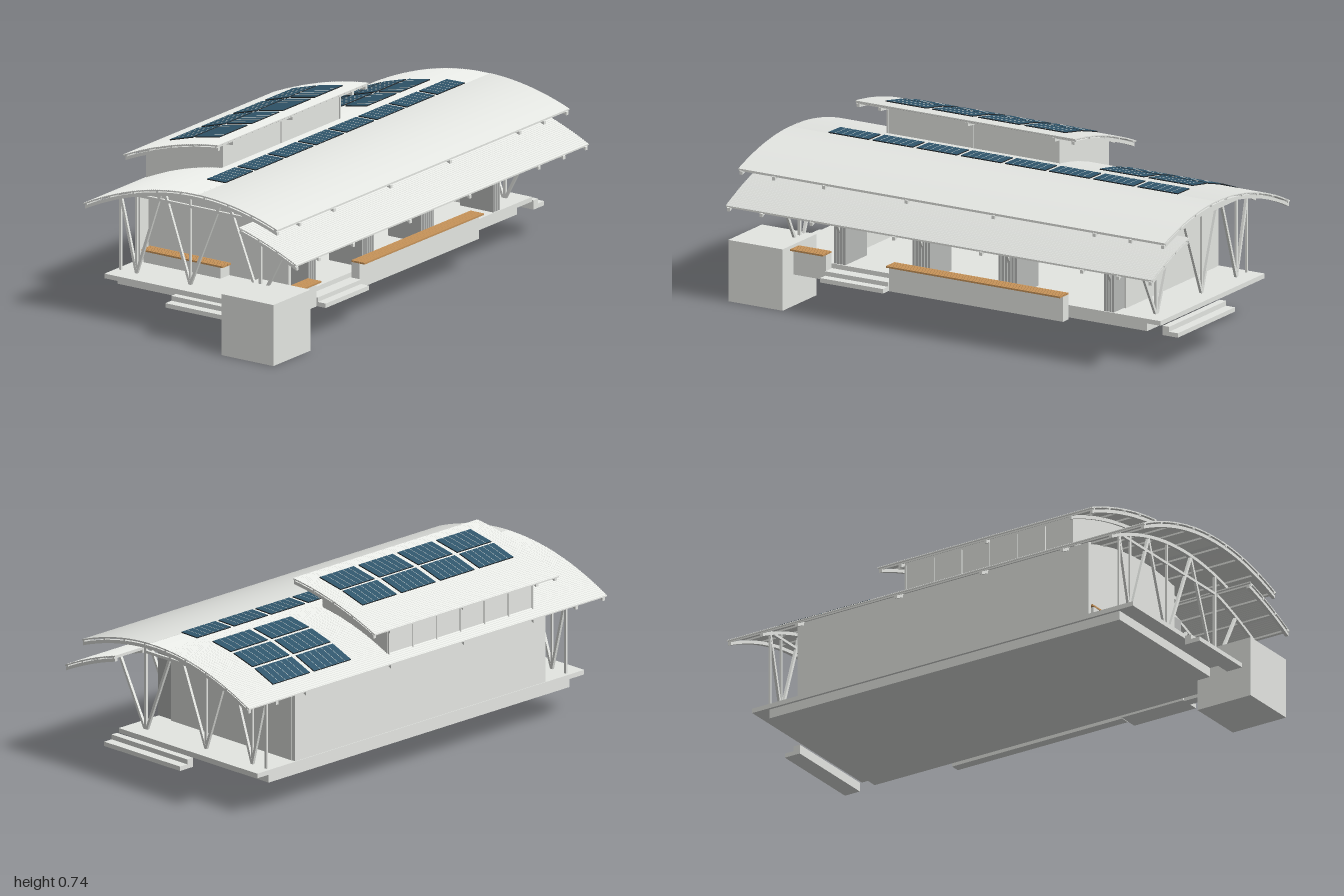
import * as THREE from 'three';
import { toCreasedNormals } from 'three/addons/utils/BufferGeometryUtils.js';

const mat = (name, color) => {
  const m = new THREE.MeshStandardMaterial({ color });
  m.name = name;
  return m;
};

export function createModel() {
  const model = new THREE.Group();
  model.name = 'pavilion';
  const grey = mat('light grey', 0xe4e6e2);
  const door = mat('door grey', 0xb8bab8);
  const dark = mat('panel frame', 0x24282b);
  const blue = mat('solar blue', 0x30566c);
  const wood = mat('wood', 0xc8945a);

  const add = (name, geo, material, parent = model) => {
    const mesh = new THREE.Mesh(geo, material);
    mesh.name = name;
    parent.add(mesh);
    return mesh;
  };
  // box given by its limits
  const box = (name, x0, x1, y0, y1, z0, z1, material = grey) => {
    const m = add(name, new THREE.BoxGeometry(x1 - x0, y1 - y0, z1 - z0), material);
    m.position.set((x0 + x1) / 2, (y0 + y1) / 2, (z0 + z1) / 2);
    return m;
  };
  // solid between two curves y(z), swept along x
  const band = (name, top, bottom, z0, z1, x0, x1, n = 32) => {
    const pts = [];
    for (let i = 0; i <= n; i++) {
      const z = z0 + (z1 - z0) * i / n;
      pts.push(new THREE.Vector2(z, bottom(z)));
    }
    for (let i = n; i >= 0; i--) {
      const z = z0 + (z1 - z0) * i / n;
      pts.push(new THREE.Vector2(z, top(z)));
    }
    const g = new THREE.ExtrudeGeometry(new THREE.Shape(pts), { depth: x1 - x0, bevelEnabled: false });
    g.rotateY(-Math.PI / 2).translate(x1, 0, 0);
    return add(name, toCreasedNormals(g, 0.35), grey);
  };
  // straight bar in the plane of constant x
  const bar = (name, x, z0, y0, z1, y1, t = 0.011) => {
    const len = Math.hypot(z1 - z0, y1 - y0);
    const m = add(name, new THREE.BoxGeometry(t, len, t), grey);
    m.position.set(x, (y0 + y1) / 2, (z0 + z1) / 2);
    m.rotation.x = Math.atan2(z1 - z0, y1 - y0);
  };

  // roof curves
  const mainY = z => 0.621 - 0.475 * (z - 0.02) ** 2;
  const canopyY = z => 0.5667 - 0.4 * (z + 0.0956) ** 2;
  const upperY = z => 0.7515 - 0.37 * (z - 0.087) ** 2;
  const drop = (f, d) => z => f(z) - d;

  // ground works: block, plinth, floor slab
  box('cornerBlock', -1, -0.75, 0, 0.25, 0.18, 0.43);
  box('plinth', -0.81, 0.837, 0.128, 0.166, -0.457, 0.285);
  box('floorSlab', -0.88, 0.91, 0.166, 0.185, -0.468, 0.305);

  // steps at both ends and at the front
  box('endStepUpper', 0.92, 0.95, 0.14, 0.168, -0.118, 0.305);
  box('endStepLower', 0.92, 0.99, 0.13, 0.148, -0.118, 0.305);
  box('endStepUpper', -0.92, -0.89, 0.14, 0.168, -0.118, 0.18);
  box('endStepLower', -0.96, -0.89, 0.13, 0.148, -0.118, 0.18);
  box('frontStepUpper', -0.6, -0.31, 0.13, 0.166, 0.305, 0.357);
  box('frontStepLower', -0.6, -0.31, 0.13, 0.148, 0.357, 0.395);

  // low walls with seats of long wooden slats
  const seat = (x0, x1, z0, z1) => {
    const count = 5, alongX = x1 - x0 > z1 - z0;
    for (let i = 0; i < count; i++) {
      const a = i / count, b = (i + 0.92) / count;
      if (alongX) box('seatSlat', x0, x1, 0.23, 0.237, z0 + (z1 - z0) * a, z0 + (z1 - z0) * b, wood);
      else box('seatSlat', x0 + (x1 - x0) * a, x0 + (x1 - x0) * b, 0.23, 0.237, z0, z1, wood);
    }
  };
  for (const [x0, x1] of [[-0.31, 0.49], [-0.75, -0.6]]) {
    box('benchWall', x0, x1, 0.128, 0.23, 0.31, 0.35);
    seat(x0, x1, 0.31, 0.375);
  }
  box('sideBench', -0.67, -0.612, 0.185, 0.23, -0.43, -0.06);
  seat(-0.672, -0.612, -0.44, -0.05);

  // walls
  const floor = () => 0.185;
  const under = drop(mainY, 0.014);
  band('backWall', under, floor, -0.465, -0.448, -0.67, 0.7, 2);
  band('leftWall', under, floor, -0.448, 0.225, 0.685, 0.702);
  band('rightWall', under, floor, -0.448, 0.225, -0.612, -0.597);
  band('frontHeader', under, () => 0.475, 0.21, 0.225, -0.597, 0.685, 2);
  band('clerestory', drop(upperY, 0.008), () => 0.5, -0.465, -0.105, -0.6, 0.195);

  // clerestory mullions, front and back
  for (let i = 0; i <= 6; i++) {
    const x = -0.597 + i * 0.131;
    box('backMullion', x - 0.003, x + 0.003, 0.5, 0.615, -0.47, -0.465);
    if (i % 3 === 0) box('frontMullion', x - 0.003, x + 0.003, 0.615, 0.725, -0.105, -0.1);
  }

  // stacks of folded doors
  for (const [x0, x1, n] of [[-0.59, -0.535, 4], [-0.23, -0.145, 6], [0.165, 0.255, 6], [0.65, 0.7, 4]]) {
    const step = (x1 - x0) / n;
    for (let i = 0; i < n; i++) {
      box('foldedDoor', x0 + i * step, x0 + i * step + step * 0.7, 0.187, 0.475, 0.145, 0.305, door);
    }
  }

  // roof sheets: smooth at the front, finely corrugated elsewhere
  const rx0 = -0.96, rx1 = 1;
  const corrugated = (name, f, z0, z1, x0, x1) => {
    const waves = Math.round((z1 - z0) / 0.009);
    const wave = d => z => f(z) - d + 0.0012 * Math.sin((z - z0) / (z1 - z0) * waves * Math.PI * 2);
    band(name, wave(0.001), wave(0.006), z0, z1, x0, x1, waves * 4);
  };
  band('mainRoofSmooth', mainY, drop(mainY, 0.006), 0.04, 0.42, rx0, rx1, 30);
  corrugated('mainRoofCorrugated', mainY, -0.513, 0.04, rx0, rx1);
  corrugated('canopyCorrugated', canopyY, 0.235, 0.513, rx0, rx1);
  corrugated('upperRoofCorrugated', upperY, -0.502, -0.045, -0.71, 0.3);

  // curved ribs and long purlins below each sheet
  const trussX = [-0.8, -0.57, -0.19, 0.21, 0.675, 0.84];
  const frame = (f, z0, z1, x0, x1, xs, count) => {
    for (const x of xs) band('roofRib', drop(f, 0.012), drop(f, 0.026), z0, z1, x - 0.007, x + 0.007, 20);
    for (let i = 0; i < count; i++) {
      const z = z0 + 0.004 + (z1 - z0 - 0.016) * i / (count - 1);
      band('purlin', drop(f, 0.006), drop(f, 0.014), z, z + 0.008, x0, x1, 1);
    }
  };
  frame(mainY, -0.507, 0.417, rx0, rx1, [-0.95, ...trussX, 0.99], 9);
  frame(canopyY, 0.237, 0.51, rx0, rx1, [-0.95, ...trussX, 0.99], 4);
  frame(upperY, -0.492, -0.047, -0.71, 0.3, [-0.7, -0.6, -0.2, 0.2, 0.29], 5);

  // open trusses at the ends, front struts everywhere
  for (const x of trussX) {
    bar('frontPost', x, 0.225, 0.185, 0.225, 0.585);
    bar('canopyStrut', x, 0.228, 0.185, 0.37, 0.455);
    if (x > -0.7 && x < 0.8) continue;
    const feet = [0.218, -0.112, -0.37], heads = [0.055, -0.243, -0.447];
    feet.forEach((z, i) => {
      bar('trussDiagonal', x, z, 0.185, heads[i], mainY(heads[i]) - 0.025);
      if (i > 0) {
        bar('trussDiagonal', x, z, 0.185, heads[i - 1], mainY(heads[i - 1]) - 0.025);
        bar('trussPost', x, z, 0.185, z, mainY(z) - 0.025, 0.009);
      }
    });
    bar('backPost', x, -0.447, 0.185, -0.447, mainY(-0.447) - 0.02, 0.009);
    bar('tieBeam', x, 0.225, 0.505, -0.447, 0.505);
  }

  // solar panels lying on the roof curves: dark tray, blue face, pale cell lines
  const panel = (f, x0, x1, z0, z1) => {
    const g = new THREE.Group(), z = (z0 + z1) / 2, w = x1 - x0;
    g.name = 'solarPanel';
    const slope = (f(z1) - f(z0)) / (z1 - z0), d = Math.hypot(z1 - z0, f(z1) - f(z0));
    g.position.set((x0 + x1) / 2, f(z) + 0.003, z);
    g.rotation.x = -Math.atan(slope);
    add('panelTray', new THREE.BoxGeometry(w, 0.004, d), dark, g);
    add('panelFace', new THREE.BoxGeometry(w - 0.001, 0.001, d - 0.001), blue, g).position.y = 0.002;
    for (let i = 1; i < 6; i++) {
      add('cellLine', new THREE.BoxGeometry(0.0015, 0.001, d - 0.001), grey, g)
        .position.set(-w / 2 + w * i / 6, 0.0025, 0);
    }
    model.add(g);
  };
  for (let i = 0; i < 8; i++) panel(mainY, -0.78 + i * 0.203, -0.595 + i * 0.203, -0.046, 0.042);
  for (const [z0, z1] of [[-0.348, -0.237], [-0.225, -0.108]]) {
    for (let i = 0; i < 4; i++) panel(upperY, -0.61 + i * 0.213, -0.423 + i * 0.213, z0, z1);
  }
  for (const [z0, z1] of [[-0.445, -0.343], [-0.33, -0.225], [-0.21, -0.108]]) {
    panel(mainY, 0.375, 0.577, z0, z1);
    panel(mainY, 0.6, 0.802, z0, z1);
  }
  return model;
}
